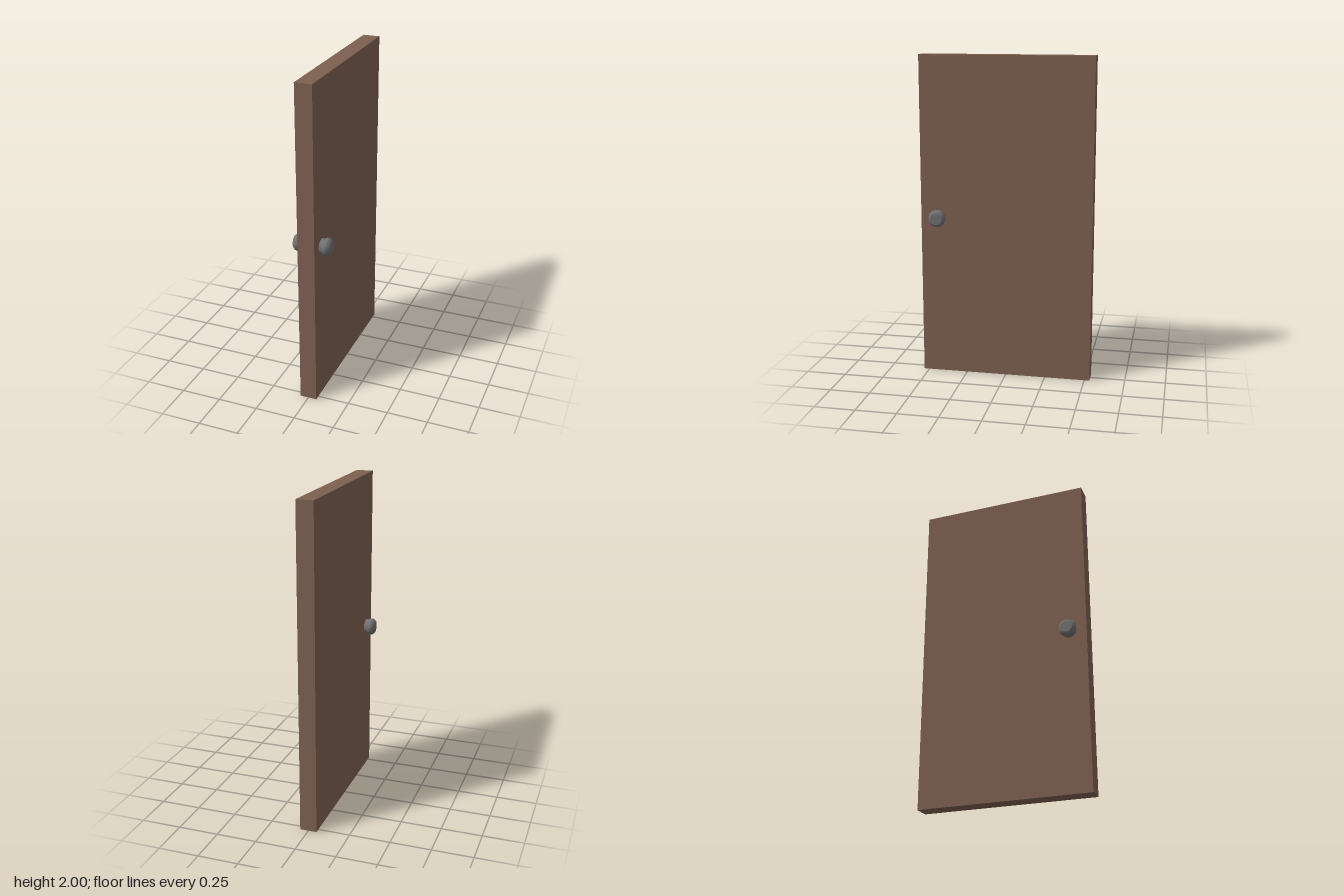
import * as THREE from 'three';

export function createModel() {
  const model = new THREE.Group();
  model.name = 'door';
  const wood = new THREE.MeshStandardMaterial({ color: 0x7d6050 });
  const metal = new THREE.MeshStandardMaterial({ color: 0x707070 });

  // Plain slab panel
  const thickness = 0.104;
  const panel = new THREE.Mesh(new THREE.BoxGeometry(thickness, 2, 1.066), wood);
  panel.name = 'doorPanel';
  panel.position.y = 1;
  model.add(panel);

  // Turned knob: neck, flared rim and bevelled cap, as [radius, distance from panel]
  const profile = [
    [0.046, -0.01], [0.046, 0.019], [0.049, 0.022], [0.052, 0.027], [0.0535, 0.033],
    [0.0535, 0.04], [0.052, 0.046], [0.047, 0.054], [0.038, 0.062], [0.035, 0.063], [0, 0.063],
  ].map(([r, h]) => new THREE.Vector2(r, h));
  const knobGeometry = new THREE.LatheGeometry(profile, 32);

  // One knob on each face
  for (const side of [1, -1]) {
    const knob = new THREE.Mesh(knobGeometry, metal);
    knob.name = side > 0 ? 'leftKnob' : 'rightKnob';
    knob.rotation.z = -side * Math.PI / 2;
    knob.position.set(side * thickness / 2, 1.004, 0.424);
    model.add(knob);
  }
  return model;
}
